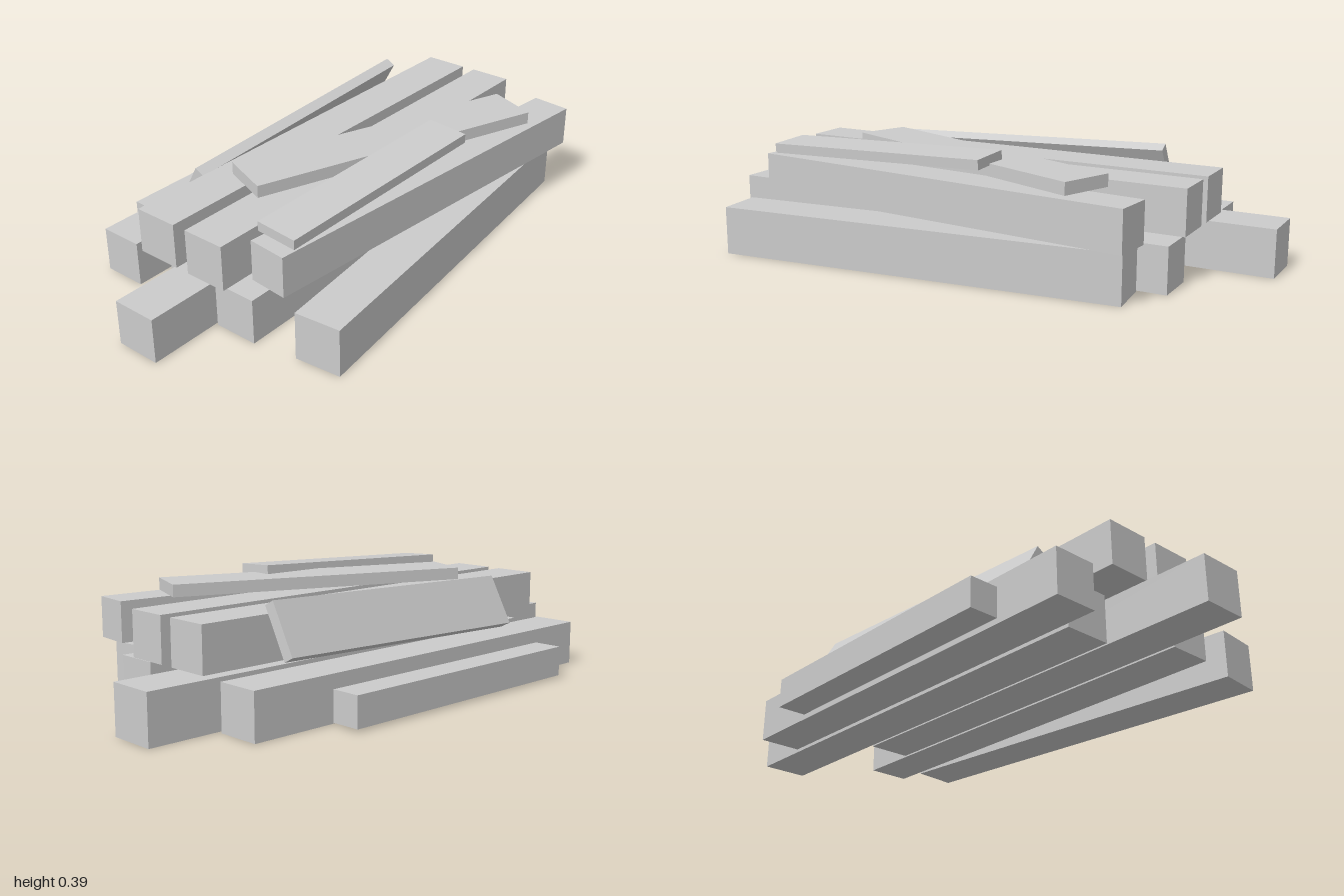
import * as THREE from 'three';

const material = new THREE.MeshStandardMaterial({ color: 0xcccccc, flatShading: true });

// One timber: length along x, then height and depth, centre and rotation
function timber(name, size, centre, rotation = [0, 0, 0]) {
  const mesh = new THREE.Mesh(new THREE.BoxGeometry(...size), material);
  mesh.name = name;
  mesh.position.set(...centre);
  mesh.rotation.set(...rotation);
  return mesh;
}

// Straight beam given by its extents on each axis
function beam(name, [x0, x1], [y0, y1], [z0, z1]) {
  return timber(name, [x1 - x0, y1 - y0, z1 - z0],
    [(x0 + x1) / 2, (y0 + y1) / 2, (z0 + z1) / 2]);
}

export function createModel() {
  const pile = new THREE.Group();
  pile.name = 'timberPile';

  // Bottom layer, front to back
  pile.add(
    timber('bottomFrontBeam', [1.395, 0.163, 0.156], [-0.023, 0.083, 0.386], [0, 0.097, 0]),
    beam('bottomBeam1', [-0.75, 0.76], [0.002, 0.156], [0.08, 0.232]),
    beam('bottomBeam2', [-1, 0.55], [0.004, 0.156], [-0.079, 0.074]),
    beam('bottomBeam3', [-0.63, 1], [0.002, 0.164], [-0.254, -0.09]),
    beam('bottomBeam4', [-0.75, 0.76], [0.002, 0.155], [-0.421, -0.271]),
    beam('bottomBackBeam', [-0.52, 0.47], [0.01, 0.112], [-0.536, -0.435])
  );

  // Second layer
  pile.add(
    timber('upperFrontBeam', [1.404, 0.138, 0.137], [0.005, 0.244, 0.312], [0, -0.097, 0]),
    beam('upperBeam1', [-0.775, 0.78], [0.165, 0.318], [-0.01, 0.14]),
    beam('upperBeam2', [-0.775, 0.78], [0.165, 0.317], [-0.214, -0.06])
  );

  // Loose planks: diagonal on top, short one resting on it, one leaning at the back
  pile.add(
    timber('diagonalPlank', [1.06, 0.042, 0.184], [0.032, 0.339, 0.13], [0, -0.365, 0]),
    timber('shortPlank', [0.83, 0.033, 0.147], [-0.24, 0.356, 0.263], [0.05, -0.038, 0.038]),
    timber('leaningPlank', [1.06, 0.038, 0.184], [0.031, 0.261, -0.284], [-1.065, -0.017, 0.035])
  );

  return pile;
}
